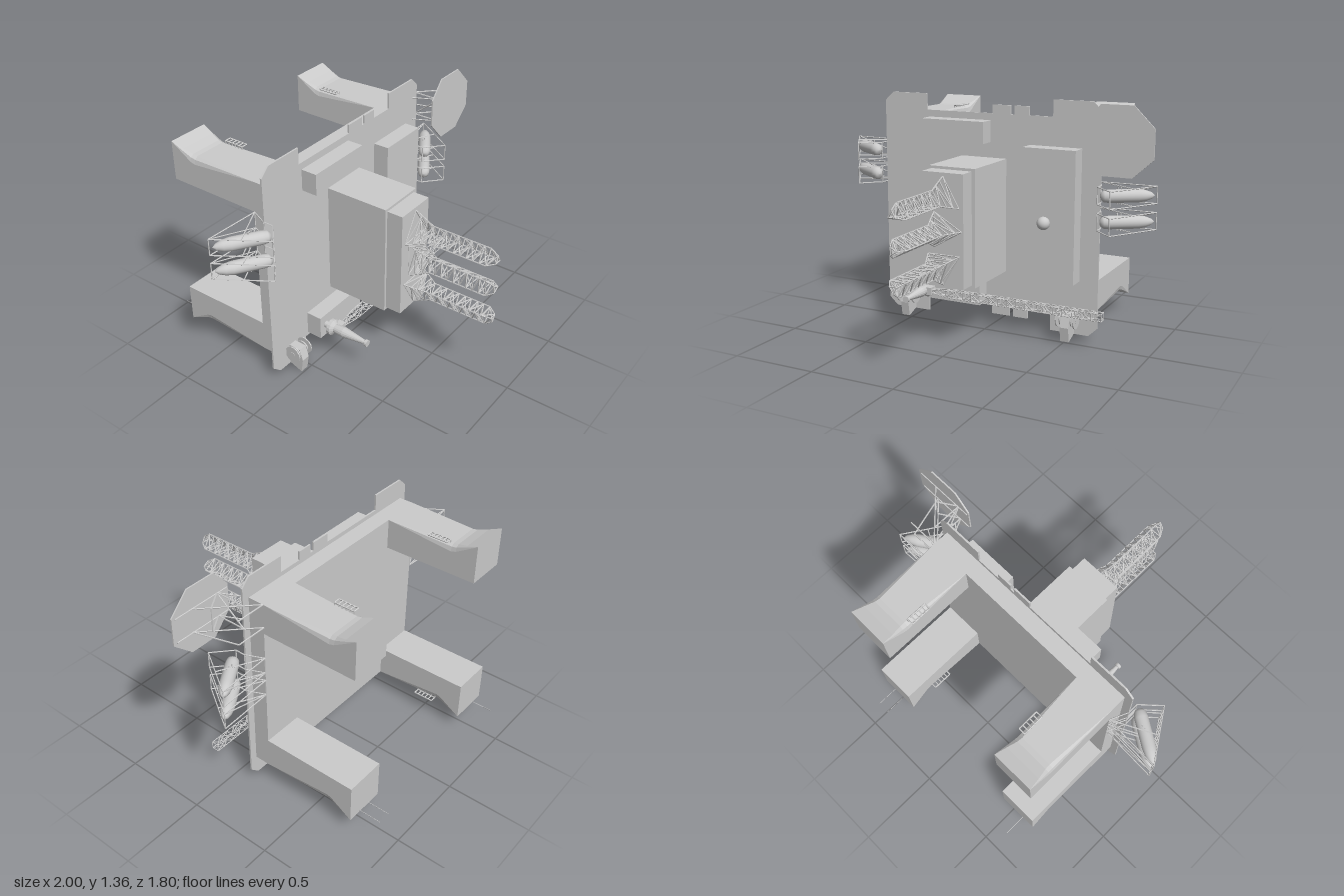
import * as THREE from 'three';
import { mergeGeometries } from 'three/addons/utils/BufferGeometryUtils.js';

const V = (x, y, z) => new THREE.Vector3(x, y, z);
const UP = V(0, 1, 0);
const CX = -0.025, CY = 0.695; // centre lines of the deck

export function createModel() {
  const root = new THREE.Group();
  const mat = new THREE.MeshStandardMaterial({ color: 0xcccccc, side: THREE.DoubleSide });
  const flat = new THREE.MeshStandardMaterial({ color: 0xcccccc, flatShading: true, side: THREE.DoubleSide });

  const add = (name, geo, parent = root, m = flat) => {
    const mesh = new THREE.Mesh(geo, m);
    mesh.name = name;
    parent.add(mesh);
    return mesh;
  };
  const box = (name, x0, x1, y0, y1, z0, z1, parent = root) => {
    const mesh = add(name, new THREE.BoxGeometry(x1 - x0, y1 - y0, z1 - z0), parent);
    mesh.position.set((x0 + x1) / 2, (y0 + y1) / 2, (z0 + z1) / 2);
    return mesh;
  };
  // merges a list of [start, end] bars into one lattice mesh
  const struts = (name, pairs, r = 0.003, parent = root) => {
    const geos = pairs.map(([a, b]) => {
      const d = b.clone().sub(a);
      const g = new THREE.CylinderGeometry(r, r, d.length(), 5);
      g.applyQuaternion(new THREE.Quaternion().setFromUnitVectors(UP, d.normalize()));
      const c = a.clone().add(b).multiplyScalar(0.5);
      return g.translate(c.x, c.y, c.z);
    });
    return add(name, mergeGeometries(geos), parent);
  };
  // rings of corners joined by rails, ring bars and alternating diagonals
  const lattice = (rings) => {
    const out = [];
    rings.forEach((ring, i) => ring.forEach((p, k) => {
      const k2 = (k + 1) % ring.length;
      out.push([p, ring[k2]]);
      const next = rings[i + 1];
      if (next) out.push([p, next[k]], i % 2 ? [p, next[k2]] : [ring[k2], next[k]]);
    }));
    return out;
  };

  // hull and notched deck plate
  box('hull', -0.67, 0.62, 0.15, 1.24, -0.2, -0.1);
  const upper = [[-0.715, 1.31], [-0.66, 1.36], [-0.43, 1.36], [-0.43, 1.265], [0, 1.265], [0, 1.315],
    [0.115, 1.315], [0.115, 1.265], [0.14, 1.265], [0.14, 1.315], [0.23, 1.315], [0.23, 1.265],
    [0.375, 1.265], [0.375, 1.36], [0.61, 1.36], [0.662, 1.31]];
  const lower = upper.map(([x, y]) => [x, 2 * CY - y]).reverse();
  const outline = new THREE.Shape([...upper, ...lower].map(([x, y]) => new THREE.Vector2(x, y)));
  add('deckPlate', new THREE.ExtrudeGeometry(outline, { depth: 0.01, bevelEnabled: false })).position.z = -0.105;

  // deck modules
  box('upperModule', -0.41, -0.01, 1.1, 1.225, -0.1, 0);
  box('sideModule', 0.235, 0.55, 0.345, 1.1, -0.1, 0);
  box('lowerModule', -0.41, -0.035, 0.145, 0.285, -0.1, 0);
  box('drillBlock', -0.195, 0.09, 0.345, 1.01, -0.1, 0.29);
  box('drillFloor', -0.18, 0.07, 0.36, 0.995, 0.29, 0.387);

  // three triangular drilling towers
  [[0.863, Math.PI / 2], [0.68, 0], [0.485, -Math.PI / 2]].forEach(([cy, turn]) => {
    const stations = [[0.387, 0.112], [0.425, 0.094], [0.463, 0.075], [0.5, 0.055]];
    for (let i = 1; i <= 9; i++) stations.push([0.5 + i * 0.039, 0.055]);
    stations.push([0.895, 0.025]);
    const rings = stations.map(([z, r]) => [0, 1, 2].map((k) => {
      const a = turn + k * Math.PI * 2 / 3;
      return V(-0.053 + r * Math.cos(a), cy + r * Math.sin(a), z);
    }));
    struts('drillTower', lattice(rings), 0.0035);
  });

  // four legs: chamfered on the outer face, flaring to the foot
  const legStations = [[-0.2, 0.09, 0.001], [-0.32, 0.09, 0.012], [-0.48, 0.09, 0.028], [-0.61, 0.09, 0.04],
    [-0.64, 0.094, 0.036], [-0.7, 0.113, 0.018], [-0.77, 0.14, 0.001]];
  const legGeometry = () => {
    const pos = [], index = [], n = 8, w = 0.122;
    legStations.forEach(([z, t, c]) => {
      const q = c * 0.7;
      [[-w, -0.09], [w, -0.09], [w, t - c], [w - q * 0.25, t - c * 0.35], [w - q, t], [-w + q, t],
        [-w + q * 0.25, t - c * 0.35], [-w, t - c]].forEach(([x, y]) => pos.push(x, y, z));
    });
    const last = (legStations.length - 1) * n;
    for (let s = 0; s < last; s += n) {
      for (let k = 0; k < n; k++) {
        const a = s + k, b = s + (k + 1) % n;
        index.push(a, a + n, b, b, a + n, b + n);
      }
    }
    for (let k = 1; k < n - 1; k++) index.push(0, k, k + 1, last, last + k + 1, last + k);
    const g = new THREE.BufferGeometry();
    g.setAttribute('position', new THREE.Float32BufferAttribute(pos, 3));
    g.setIndex(index);
    g.computeVertexNormals();
    return g;
  };
  for (const sx of [-1, 1]) for (const sy of [-1, 1]) {
    const leg = new THREE.Group();
    leg.name = 'leg';
    leg.position.set(CX + sx * 0.523, CY + sy * 0.455, 0);
    leg.rotation.z = sy < 0 ? Math.PI : 0;
    root.add(leg);
    add('legColumn', legGeometry(), leg);
    // small ladder rack on the inner edge
    const inner = -sx * sy, bars = [];
    const a = inner * 0.098, b = inner * 0.135;
    for (const x of [a, b]) bars.push([V(x, 0.105, -0.47), V(x, 0.105, -0.59)]);
    for (let i = 0; i <= 5; i++) {
      const z = -0.47 - i * 0.024;
      bars.push([V(a, 0.105, z), V(b, 0.105, z)], [V(a, 0.105, z), V(a, 0.07, z)]);
    }
    struts('legRack', bars, 0.004, leg);
  }

  // mooring wires under the lower legs
  struts('mooringWires', [-0.587, 0.465, 0.54].map((x) => [V(x, 0.112, -0.02), V(x, 0.112, -0.905)]), 0.0015);
  for (const x of [-0.587, 0.502]) {
    const guide = add('wireGuide', new THREE.ConeGeometry(0.045, 0.03, 4));
    guide.position.set(x, 0.115, -0.475);
    guide.scale.x = 0.3;
    guide.rotation.x = Math.PI;
  }

  // anchor winches on the lower corners
  for (const sx of [-1, 1]) {
    const winch = new THREE.Group();
    winch.name = 'anchorWinch';
    winch.position.x = CX + sx * 0.525;
    root.add(winch);
    const side = new THREE.Shape([[0.013, 0.005], [0.097, 0.035], [0.097, 0.16], [0.02, 0.16], [0, 0.09]]
      .map(([z, y]) => new THREE.Vector2(z, y)));
    const body = add('winchBody', new THREE.ExtrudeGeometry(side, { depth: 0.052, bevelEnabled: false }), winch);
    body.rotation.y = Math.PI / 2;
    body.position.x = -0.026;
    for (const s of [-1, 1]) {
      for (const [x, r, w] of [[0.052, 0.052, 0.007], [0.033, 0.04, 0.007], [0.04, 0.018, 0.034]]) {
        const disc = add('winchDrum', new THREE.CylinderGeometry(r, r, w, 14), winch);
        disc.rotation.z = Math.PI / 2;
        disc.position.set(s * x, 0.13, -0.05);
      }
    }
  }

  // lifeboats in open cradles on both sides
  const hullProfile = [[0, -0.15], [0.02, -0.146], [0.033, -0.13], [0.037, -0.1], [0.037, 0.06],
    [0.031, 0.1], [0.018, 0.135], [0, 0.153]].map(([r, y]) => new THREE.Vector2(r, y));
  const plan = [[0.69, -0.1], [0.69, -0.04], [0.795, 0.055], [0.97, -0.215], [0.645, -0.2]];
  const lifeboat = (s, y) => {
    const X = (x) => CX + s * x;
    const boat = add('lifeboat', new THREE.LatheGeometry(hullProfile, 20), root, mat);
    boat.position.set(X(0.833), y, -0.118);
    boat.quaternion.setFromUnitVectors(UP, V(s * 0.84, 0, -0.54).normalize());
    const bars = [];
    plan.forEach(([x, z], i) => {
      const [x2, z2] = plan[(i + 1) % plan.length];
      for (const h of [-0.048, 0.048]) bars.push([V(X(x), y + h, z), V(X(x2), y + h, z2)]);
      bars.push([V(X(x), y - 0.048, z), V(X(x), y + 0.048, z)]);
    });
    // hangers and cross braces
    for (const x of [0.785, 0.805]) bars.push([V(X(x), y - 0.048, -0.1), V(X(x), y + 0.048, -0.1)]);
    for (const h of [-0.048, 0.048]) bars.push([V(X(0.645), y + h, -0.2), V(X(0.88), y + h, -0.08)]);
    bars.push([V(X(0.645), y - 0.048, -0.2), V(X(0.97), y + 0.048, -0.215)]);
    struts('lifeboatCradle', bars, 0.0035);
  };
  for (const y of [1.01, 0.865]) lifeboat(-1, y);
  for (const y of [0.857, 0.711]) lifeboat(1, y);

  // helicopter platform and its bracing
  const pad = new THREE.Shape([[0.613, 1.26], [0.705, 1.365], [0.885, 1.365], [1, 1.25], [1, 1.09],
    [0.885, 0.985], [0.72, 0.985], [0.613, 1.1]].map(([x, y]) => new THREE.Vector2(x, y)));
  add('helicopterPlatform', new THREE.ExtrudeGeometry(pad, { depth: 0.008, bevelEnabled: false })).position.z = 0.043;
  const braces = [];
  for (const y of [1.1, 1.24]) {
    braces.push([V(0.62, y, -0.2), V(0.87, y, 0.045)], [V(0.62, y, -0.1), V(0.69, y, 0.045)],
      [V(0.62, y, -0.2), V(0.8, y, -0.2)], [V(0.69, y, -0.13), V(0.69, y, 0.045)],
      [V(0.8, y, -0.025), V(0.69, y, 0.045)], [V(0.62, y, 0.04), V(0.98, y, 0.04)]);
  }
  braces.push([V(0.69, 1.1, -0.13), V(0.69, 1.24, 0.045)], [V(0.8, 1.1, -0.025), V(0.8, 1.24, -0.025)],
    [V(0.8, 1.1, -0.2), V(0.87, 1.1, 0.045)]);
  struts('platformBraces', braces, 0.004);

  // crane with tapered mast and long lattice boom
  const mast = add('craneMast', new THREE.LatheGeometry([[0.02, 0], [0.02, 0.035], [0.048, 0.035], [0.048, 0.055],
    [0.027, 0.07], [0.031, 0.13], [0.012, 0.275], [0.02, 0.28], [0.02, 0.295], [0, 0.295]]
    .map(([r, y]) => new THREE.Vector2(r, y)), 16));
  mast.rotation.x = Math.PI / 2;
  mast.position.set(-0.358, 0.217, 0);
  box('craneCab', -0.345, -0.305, 0.195, 0.24, 0.055, 0.1);
  const boomRings = [];
  for (let i = 0; i <= 19; i++) {
    const x = -0.32 + i * 1.075 / 19, r = Math.min(0.021, 0.008 + i * 0.0055);
    boomRings.push([[-r, -r], [r, -r], [r, r], [-r, r]].map(([y, z]) => V(x, 0.217 + y, 0.078 + z)));
  }
  struts('craneBoom', lattice(boomRings), 0.0025);

  // dome on a short post
  add('radarDome', new THREE.SphereGeometry(0.037, 20, 14), root, mat).position.set(0.392, 0.697, 0.062);
  struts('domePost', [[V(0.392, 0.697, -0.01), V(0.392, 0.697, 0.05)]], 0.012);

  return root;
}
